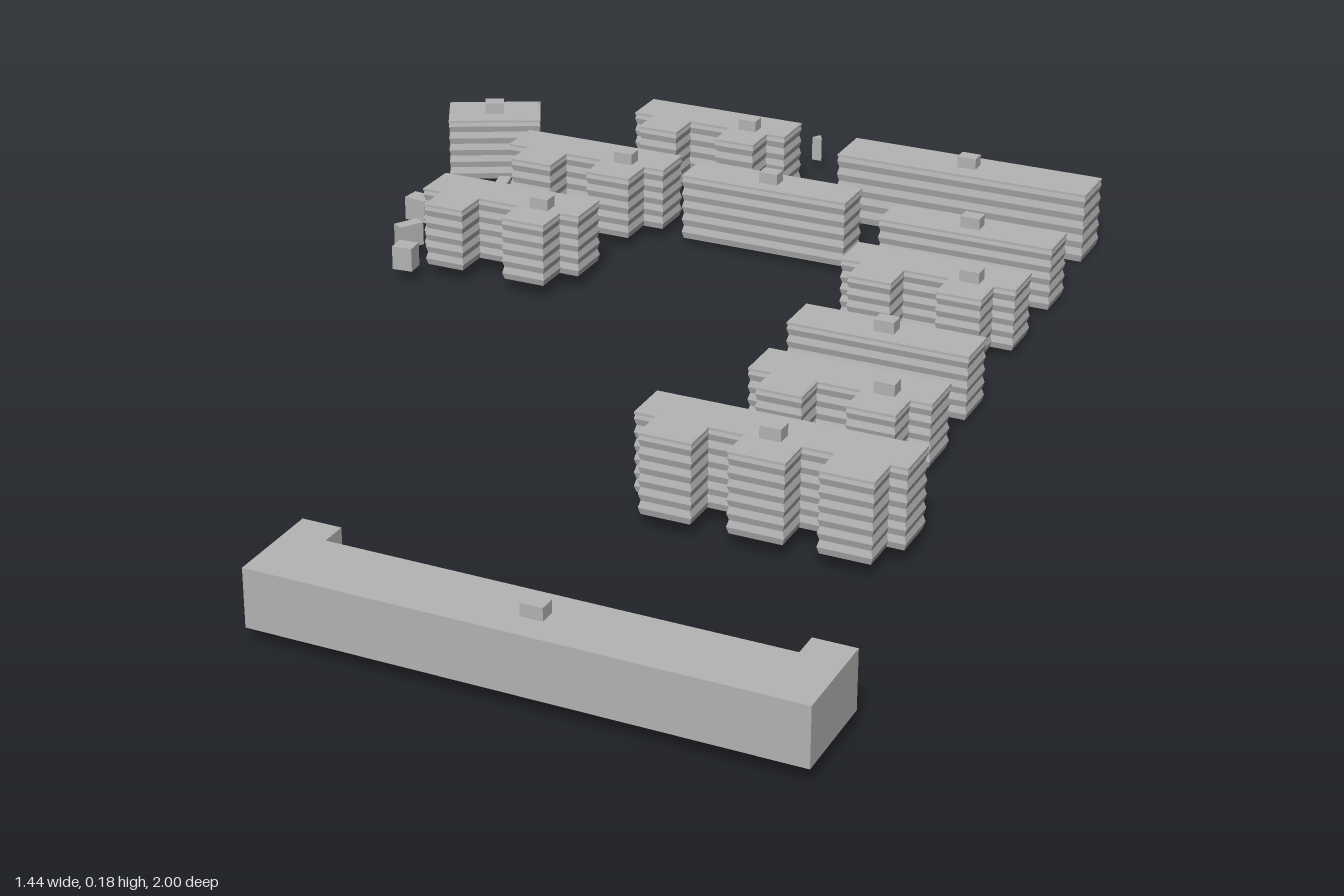
import * as THREE from 'three';

const concrete = new THREE.MeshStandardMaterial({ color: 0xb4b4b4 });
concrete.name = 'concrete grey';

// Extrudes a plan outline of [x, z] points upward; ridge > 0 gives a pointed storey wall.
function storey(points, height, ridge) {
  const shape = new THREE.Shape(points.map(([x, z]) => new THREE.Vector2(x, -z)));
  const half = height / 2;
  const geo = new THREE.ExtrudeGeometry(shape, ridge > 0
    ? { depth: 0.0002, bevelEnabled: true, bevelSegments: 1, bevelThickness: half, bevelSize: ridge, bevelOffset: -ridge }
    : { depth: height, bevelEnabled: false });
  geo.translate(0, 0, ridge > 0 ? half : 0);
  geo.rotateX(-Math.PI / 2);
  return geo;
}

// Long bar from back z0 to z1, with wings [xa, xb] reaching forward to zWing.
function barPlan(x0, x1, z0, z1, wings = [], zWing = z1) {
  const pts = [[x0, z0], [x0, z1]];
  for (const [a, b] of wings) pts.push([a, z1], [a, zWing], [b, zWing], [b, z1]);
  pts.push([x1, z1], [x1, z0]);
  return pts;
}

function building({ name, plan, y0, y1, cap, angle = 0.008, floors = 5, ridge = 0.003 }) {
  const group = new THREE.Group();
  group.name = name;
  const [cx, cz] = cap;
  const local = plan.map(([x, z]) => [x - cx, z - cz]);
  const h = (y1 - y0) / floors;
  const geo = storey(local, h, ridge);
  for (let i = 0; i < floors; i++) {
    const floor = new THREE.Mesh(geo, concrete);
    floor.name = 'storey';
    floor.position.y = y0 + i * h;
    group.add(floor);
  }
  // flat roof slab keeps the full outline seen from above
  const roof = new THREE.Mesh(storey(local, 0.004, 0), concrete);
  roof.name = 'roof';
  roof.position.y = y1 - 0.004;
  // lift housing on the roof
  const house = new THREE.Mesh(new THREE.BoxGeometry(0.034, 0.02, 0.026), concrete);
  house.name = 'roofHousing';
  house.position.y = y1 + 0.01;
  group.add(roof, house);
  group.position.set(cx, 0, cz);
  group.rotation.y = angle;
  return group;
}

export function createModel() {
  const model = new THREE.Group();
  model.name = 'housingEstate';

  const blocks = [
    { name: 'longFrontBlock', y0: 0.03, y1: 0.122, cap: [0.307, 0.938], floors: 1, ridge: 0,
      plan: [[-0.107, 0.995], [0.72, 0.995], [0.72, 0.838], [0.655, 0.838], [0.655, 0.88],
        [-0.045, 0.88], [-0.045, 0.838], [-0.107, 0.838]] },
    { name: 'threeWingBlock', y0: 0.028, y1: 0.16, cap: [0.406, 0.393], floors: 6,
      plan: barPlan(0.19, 0.617, 0.325, 0.405, [[0.225, 0.31], [0.365, 0.455], [0.505, 0.59]], 0.465) },
    { name: 'twoWingBlockA', y0: 0.015, y1: 0.122, cap: [0.468, 0.108],
      plan: barPlan(0.245, 0.545, 0.038, 0.12, [[0.283, 0.36], [0.43, 0.51]], 0.18) },
    { name: 'barBlockA', y0: 0.012, y1: 0.122, cap: [0.383, -0.103],
      plan: barPlan(0.23, 0.535, -0.143, -0.062) },
    { name: 'twoWingBlockB', y0: 0.015, y1: 0.124, cap: [0.436, -0.342],
      plan: barPlan(0.21, 0.515, -0.413, -0.333, [[0.246, 0.323], [0.4, 0.478]], -0.272) },
    { name: 'barBlockB', y0: 0.01, y1: 0.122, cap: [0.355, -0.564],
      plan: barPlan(0.2, 0.51, -0.604, -0.525) },
    { name: 'barBlockC', y0: 0.002, y1: 0.128, cap: [0.257, -0.81],
      plan: barPlan(0.025, 0.488, -0.856, -0.764) },
    { name: 'barBlockD', y0: 0.015, y1: 0.134, cap: [-0.022, -0.574],
      plan: barPlan(-0.175, 0.133, -0.614, -0.535) },
    { name: 'twoWingBlockC', y0: 0.025, y1: 0.138, cap: [-0.288, -0.542],
      plan: barPlan(-0.515, -0.21, -0.61, -0.531, [[-0.478, -0.4], [-0.33, -0.247]], -0.467) },
    { name: 'twoWingBlockD', y0: 0.028, y1: 0.14, cap: [-0.32, -0.282],
      plan: barPlan(-0.545, -0.245, -0.352, -0.27, [[-0.508, -0.435], [-0.36, -0.28]], -0.208) },
    { name: 'twoWingBlockE', y0: 0.015, y1: 0.132, cap: [-0.165, -0.803],
      plan: barPlan(-0.39, -0.09, -0.87, -0.79, [[-0.352, -0.277], [-0.2, -0.125]], -0.727) },
    { name: 'turnedBlock', y0: 0.018, y1: 0.133, cap: [-0.625, -0.678], angle: 0.48,
      plan: barPlan(-0.709, -0.541, -0.728, -0.628) },
  ];
  for (const b of blocks) model.add(building(b));

  // small sheds: x, z, width, depth, bottom, top, angle
  const sheds = [
    [-0.62, -0.385, 0.042, 0.032, 0.028, 0.07, -0.1],
    [-0.525, -0.522, 0.022, 0.034, 0.028, 0.07, 0.25],
    [-0.576, -0.268, 0.022, 0.046, 0.028, 0.07, -0.5],
    [-0.535, -0.185, 0.036, 0.032, 0.026, 0.068, 0.1],
    [-0.177, -0.977, 0.048, 0.022, 0.018, 0.058, -0.06],
  ];
  for (const [x, z, w, d, y0, y1, angle] of sheds) {
    const shed = new THREE.Mesh(new THREE.BoxGeometry(w, y1 - y0, d), concrete);
    shed.name = 'shed';
    shed.position.set(x, (y0 + y1) / 2, z);
    shed.rotation.y = angle;
    model.add(shed);
  }

  // three-sided kiosk at the back
  const kiosk = new THREE.Mesh(
    storey([[-0.115, -0.982], [-0.096, -0.982], [-0.105, -0.998]], 0.045, 0), concrete);
  kiosk.name = 'kiosk';
  kiosk.position.y = 0.018;
  model.add(kiosk);

  return model;
}
